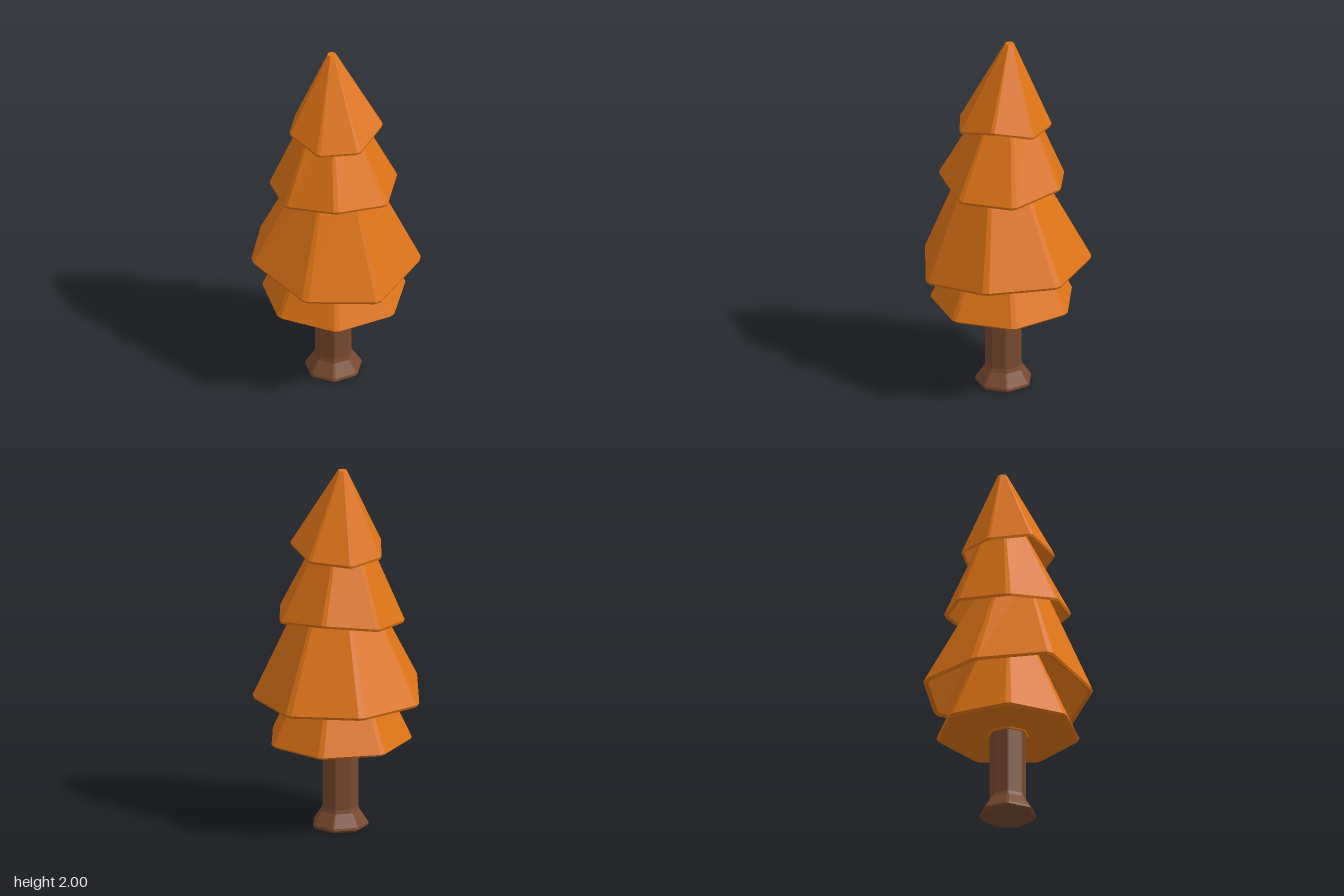
import * as THREE from 'three';

const leafMat = new THREE.MeshStandardMaterial({ color: 0xdf7416, flatShading: true });
const barkMat = new THREE.MeshStandardMaterial({ color: 0x784a2f, flatShading: true });

// Skin a stack of equal-length rings, closing both ends with a fan
function loft(rings) {
  const pos = [];
  const put = (...pts) => pts.forEach(p => pos.push(p.x, p.y, p.z));
  const n = rings[0].length;
  const centre = ring => ring.reduce((s, p) => s.add(p), new THREE.Vector3()).divideScalar(n);
  const first = rings[0], last = rings[rings.length - 1];
  const c0 = centre(first), c1 = centre(last);
  for (let i = 0; i < n; i++) {
    const j = (i + 1) % n;
    put(c0, first[i], first[j]);
    for (let k = 0; k + 1 < rings.length; k++) {
      const lo = rings[k], hi = rings[k + 1];
      put(lo[j], lo[i], hi[i], lo[j], hi[i], hi[j]);
    }
    put(c1, last[j], last[i]);
  }
  const geo = new THREE.BufferGeometry();
  geo.setAttribute('position', new THREE.Float32BufferAttribute(pos, 3));
  geo.computeVertexNormals();
  return geo;
}

// Cut each corner of a ring into a narrow bevel
function bevel(corners, cut) {
  const n = corners.length;
  return corners.flatMap((p, i) => [corners[(i + n - 1) % n], corners[(i + 1) % n]]
    .map(q => p.clone().lerp(q, cut)));
}

// Regular seven-sided ring with a flat front and a corner at the back
function heptagon(r, y, cx = 0, cz = 0) {
  return Array.from({ length: 7 }, (_, i) => {
    const a = -Math.PI / 2 + i * Math.PI * 2 / 7;
    return new THREE.Vector3(cx + r * Math.cos(a), y, cz + r * Math.sin(a));
  });
}

// Shrink a ring about the axis and set it level at height y
const shrinkTo = (ring, s, y, cx, cz) =>
  ring.map(p => new THREE.Vector3(cx + p.x * s, y, cz + p.z * s));

// Hollow skirt of foliage with an uneven rim
function skirt({ rim, s, y, cx, cz }) {
  const outer = bevel(rim.map(p => new THREE.Vector3(...p)), 0.05);
  const top = shrinkTo(outer, s, y, cx, cz);
  const inset = (k, dy) => outer.map(p => new THREE.Vector3(p.x * k, p.y + dy, p.z * k));
  const innerTop = shrinkTo(outer, s * 0.8, y - 0.06, cx, cz);
  return loft([innerTop, inset(0.94, 0.005), inset(0.985, -0.004), inset(1, 0.01), top]);
}

const skirts = {
  lowerSkirt: {
    rim: [[-0.22, 0.73, -0.425], [0.18, 0.735, -0.45], [0.455, 0.725, -0.15], [0.395, 0.73, 0.25],
      [0.035, 0.675, 0.45], [-0.34, 0.71, 0.305], [-0.46, 0.78, -0.085]],
    s: 0.36, y: 1.35, cx: -0.01, cz: 0.02,
  },
  middleSkirt: {
    rim: [[0, 1.175, -0.36], [0.275, 1.215, -0.23], [0.345, 1.18, 0.065], [0.16, 1.18, 0.305],
      [-0.15, 1.225, 0.305], [-0.335, 1.18, 0.065], [-0.275, 1.145, -0.23]],
    s: 0.36, y: 1.65, cx: 0, cz: -0.03,
  },
  topSkirt: {
    rim: [[-0.11, 1.53, -0.235], [0.1, 1.52, -0.25], [0.255, 1.535, -0.08], [0.22, 1.585, 0.14],
      [0.02, 1.525, 0.25], [-0.185, 1.52, 0.165], [-0.25, 1.56, -0.045]],
    s: 0.095, y: 2, cx: 0.005, cz: -0.042,
  },
};

export function createModel() {
  const tree = new THREE.Group();
  tree.name = 'tree';
  const add = (name, geo, mat) => {
    const mesh = new THREE.Mesh(geo, mat);
    mesh.name = name;
    tree.add(mesh);
  };

  // Trunk with a flared foot: [radius, height]
  const trunk = [[0.145, 0], [0.157, 0.013], [0.154, 0.025], [0.107, 0.093], [0.101, 0.115], [0.101, 0.6]];
  add('trunk', loft(trunk.map(([r, y]) => bevel(heptagon(r, y, 0, -0.012), 0.06))), barkMat);

  // Collar where the trunk meets the foliage
  add('collar', loft([[0.113, 0.475], [0.122, 0.495]]
    .map(([r, y]) => bevel(heptagon(r, y, 0, -0.012), 0.06))), leafMat);

  // Level bottom tier with a flat underside
  const base = [[0.38, 0.484], [0.395, 0.497], [0.17, 0.97]];
  add('bottomTier', loft(base.map(([r, y]) => bevel(heptagon(r, y, 0.003, -0.008), 0.05))), leafMat);

  // Overlapping skirts above it
  for (const [name, spec] of Object.entries(skirts)) add(name, skirt(spec), leafMat);

  return tree;
}
